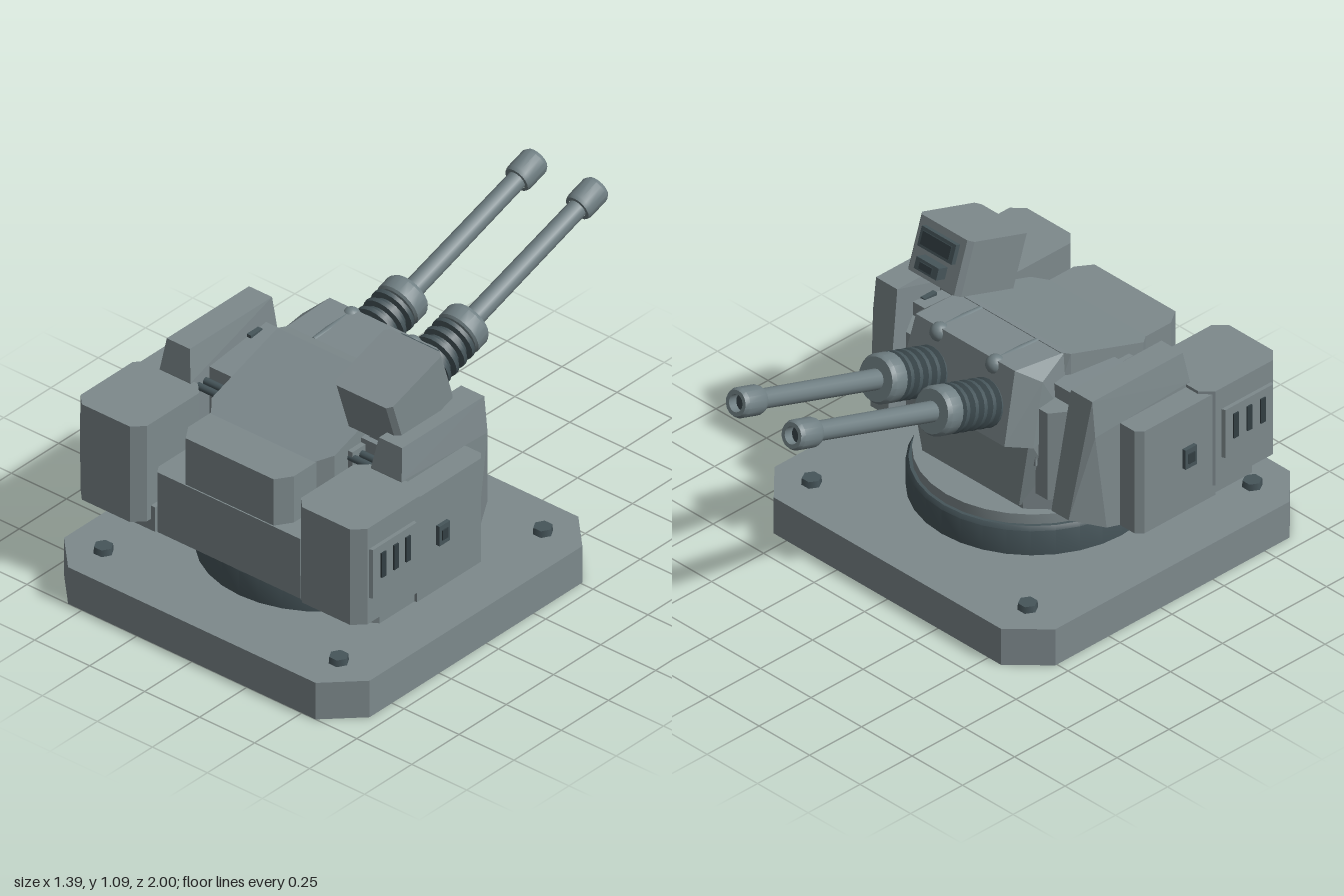
import * as THREE from 'three';
import { ConvexGeometry } from 'three/addons/geometries/ConvexGeometry.js';
import { toCreasedNormals } from 'three/addons/utils/BufferGeometryUtils.js';

const material = (name, color) => Object.assign(new THREE.MeshStandardMaterial({ color }), { name });
const armour = material('grey armour', 0x7d898c);
const steel = material('gun steel', 0x6f7e82);
const dark = material('dark steel', 0x46555a);
const black = material('dark recess', 0x323e42);

const TILT = 0.314; // elevation of the guns and sight

export function createModel() {
  const model = new THREE.Group();
  model.name = 'gunTurret';

  const add = (name, geometry, mat, x = 0, y = 0, z = 0, parent = model) => {
    const mesh = new THREE.Mesh(geometry, mat);
    mesh.name = name;
    mesh.position.set(x, y, z);
    parent.add(mesh);
    return mesh;
  };
  const box = (name, mat, w, h, d, x, y, z, parent) =>
    add(name, new THREE.BoxGeometry(w, h, d), mat, x, y, z, parent);
  const hull = (name, points, mat = armour, parent = model) =>
    add(name, new ConvexGeometry(points.map((p) => new THREE.Vector3(...p))), mat, 0, 0, 0, parent);
  // Flat-sided block over a convex [x, z] footprint; the top may follow a rule of z
  const block = (name, footprint, y0, top, mat) =>
    hull(name, footprint.flatMap(([x, z]) =>
      [[x, y0, z], [x, typeof top === 'function' ? top(z) : top, z]]), mat);
  const both = (half) => [...half, ...half.map(([x, ...rest]) => [-x, ...rest])];
  const octagon = (x0, x1, z0, z1, c) => [[x0 + c, z0], [x1 - c, z0], [x1, z0 + c], [x1, z1 - c],
    [x1 - c, z1], [x0 + c, z1], [x0, z1 - c], [x0, z0 + c]];
  const lathe = (points, sides) => toCreasedNormals(
    new THREE.LatheGeometry(points.map((p) => new THREE.Vector2(...p)), sides), 0.6);

  // Base plate, corner bolts and turning ring
  block('basePlate', octagon(-0.695, 0.695, -0.39, 1, 0.132), 0, 0.15);
  for (const x of [-0.535, 0.535]) {
    for (const z of [-0.235, 0.845]) {
      add('baseBolt', new THREE.CylinderGeometry(0.035, 0.037, 0.026, 6).rotateY(Math.PI / 6), dark, x, 0.163, z);
    }
  }
  add('turningRing', lathe([[0, 0.15], [0.44, 0.15], [0.44, 0.25], [0.43, 0.265], [0, 0.265]], 32), dark, 0, 0, 0.31);
  add('upperRing', lathe([[0, 0.26], [0.418, 0.26], [0.418, 0.305], [0, 0.305]], 32), armour, 0, 0, 0.31);

  // Central body
  block('lowerBody', both([[0.25, 0.02], [0.345, 0.11], [0.345, 0.775], [0.325, 0.805]]), 0.3, 0.545);
  block('bodyCore', both([[0.3, 0.03], [0.3, 0.5]]), 0.5, 0.74);
  block('rearBlock', both([[0.24, 0.4], [0.24, 0.74], [0.2, 0.8]]), 0.54, 0.735);
  block('hood', both([[0.28, 0.22], [0.28, 0.57], [0.235, 0.625]]), 0.54, (z) => 0.735 + (0.625 - z) / 3);
  hull('hoodFrontEdge', both([[0.28, 0.72, 0.22], [0.28, 0.87, 0.22], [0.255, 0.876, 0.195], [0.26, 0.72, 0.18]]));

  // Gun mantlet with sloping nose and lower front
  hull('mantlet', both([[0.245, 0.893, -0.015], [0.265, 0.62, -0.085], [0.305, 0.84, 0.06],
    [0.31, 0.59, 0.01], [0.26, 0.872, 0.21], [0.29, 0.6, 0.2]]));
  hull('lowerFront', both([[0.3, 0.62, 0], [0.24, 0.32, 0.01], [0.32, 0.62, 0.15], [0.32, 0.32, 0.15]]));

  for (const s of [-1, 1]) {
    const side = (pts) => pts.map(([x, ...rest]) => [s * x, ...rest]);

    // Tall armour slab with slanted front and tapered corner
    hull('armourSlab', side([
      [0.43, 0.862, 0.075], [0.535, 0.862, 0.075], [0.43, 0.862, 0.51], [0.535, 0.862, 0.51],
      [0.41, 0.74, 0.53], [0.55, 0.74, 0.53], [0.405, 0.38, 0.005], [0.49, 0.38, 0.005],
      [0.55, 0.72, 0.075], [0.55, 0.32, 0.13], [0.41, 0.3, 0.12], [0.55, 0.3, 0.2],
      [0.41, 0.3, 0.53], [0.55, 0.3, 0.53]]));

    // Shoulder between hood and slab
    block('shoulder', side([[0.27, 0.13], [0.41, 0.13], [0.41, 0.43], [0.27, 0.43]]), 0.54,
      (z) => 0.795 - Math.max(0, z - 0.13) * 0.12);
    block('shoulderFront', side([[0.29, 0.04], [0.35, 0.04], [0.41, 0.13], [0.29, 0.13]]), 0.38, 0.74);
    for (const z of [0.45, 0.49]) {
      add('hingeRod', new THREE.CylinderGeometry(0.014, 0.014, 0.16, 10).rotateZ(Math.PI / 2), dark, s * 0.35, 0.71, z);
    }
    box('hingeKnob', dark, 0.02, 0.04, 0.06, s * 0.402, 0.775, 0.2);

    // Side panel and its small hatch
    block('sideBase', side([[0.33, 0.22], [0.62, 0.2], [0.635, 0.23], [0.635, 0.745], [0.53, 0.81], [0.33, 0.81]]), 0.3, 0.4);
    block('sidePanel', side([[0.5, 0.195], [0.622, 0.195], [0.645, 0.22], [0.645, 0.56], [0.5, 0.56]]), 0.3, 0.725);
    box('sideHatch', dark, 0.025, 0.08, 0.055, s * 0.648, 0.525, 0.43);
    box('hatchInset', black, 0.008, 0.04, 0.03, s * 0.661, 0.525, 0.43);

    // Corner pod with vented plate
    block('cornerPod', side(octagon(0.35, 0.652, 0.512, 0.872, 0.042)), 0.345, 0.737);
    hull('ventPlate', side([0.45, 0.65].flatMap((y) => [0.58, 0.825].flatMap((z) =>
      [[0.645, y, z], [0.667, y, z + (z < 0.7 ? 0.008 : -0.008)]]))));
    for (const z of [0.635, 0.7, 0.765]) box('ventSlit', black, 0.009, 0.1, 0.024, s * 0.669, 0.568, z);
  }

  // Sight box on its pedestal
  box('sightPedestal', armour, 0.12, 0.2, 0.14, 0.36, 0.78, 0.34);
  const sight = new THREE.Group();
  sight.name = 'sight';
  sight.position.set(0.35, 0.942, 0.336);
  sight.rotation.x = TILT;
  model.add(sight);
  hull('sightBox', [-0.105, 0.105].flatMap((y) =>
    octagon(-0.13, 0.13, -0.15, 0.15, 0.018).map(([x, z]) => [x, y, z])), armour, sight);
  box('sightFrame', dark, 0.17, 0.075, 0.03, 0, 0.04, -0.155, sight);
  box('sightLens', black, 0.14, 0.05, 0.008, 0, 0.04, -0.172, sight);
  box('rangeFinder', dark, 0.11, 0.045, 0.05, 0, -0.045, -0.17, sight);
  box('rangeLens', black, 0.06, 0.025, 0.008, 0, -0.045, -0.197, sight);

  // Ribbed sleeve outline: [radius, distance along the barrel]
  const sleeve = [[0, -0.2], [0.07, -0.2]];
  for (let i = 0; i < 5; i++) {
    const a = -0.145 + i * 0.044;
    sleeve.push([0.07, a], [0.09, a + 0.007], [0.09, a + 0.023], [0.07, a + 0.03]);
  }
  const collar = [[0, 0.065], [0.082, 0.065], [0.09, 0.073], [0.09, 0.125], [0.08, 0.14], [0, 0.14]];
  const muzzle = [[0.037, 0.735], [0.05, 0.735], [0.055, 0.75], [0.055, 0.832], [0.047, 0.847],
    [0.032, 0.847], [0.032, 0.8]];

  // Twin guns
  for (const x of [-0.138, 0.138]) {
    const gun = new THREE.Group();
    gun.name = 'gun';
    gun.position.set(x, 0.77, -0.18);
    gun.rotation.x = TILT - Math.PI / 2;
    model.add(gun);
    add('ribbedSleeve', lathe(sleeve, 20), dark, 0, 0, 0, gun);
    add('sleeveCollar', lathe(collar, 20), steel, 0, 0, 0, gun);
    add('barrel', new THREE.CylinderGeometry(0.036, 0.038, 0.64, 16), steel, 0, 0.44, 0, gun);
    add('muzzle', lathe(muzzle, 16), steel, 0, 0, 0, gun);
    add('bore', new THREE.CylinderGeometry(0.033, 0.033, 0.01, 16), black, 0, 0.805, 0, gun);

    // Teardrop fairing on the mantlet roof
    add('fairingDome', new THREE.SphereGeometry(0.036, 14, 10), steel, x, 0.866, -0.005);
    const tail = add('fairingTail', new THREE.CylinderGeometry(0.012, 0.034, 0.2, 12).rotateX(Math.PI / 2), steel, x, 0.862, 0.095);
    tail.rotation.x = -0.04;
  }
  return model;
}
